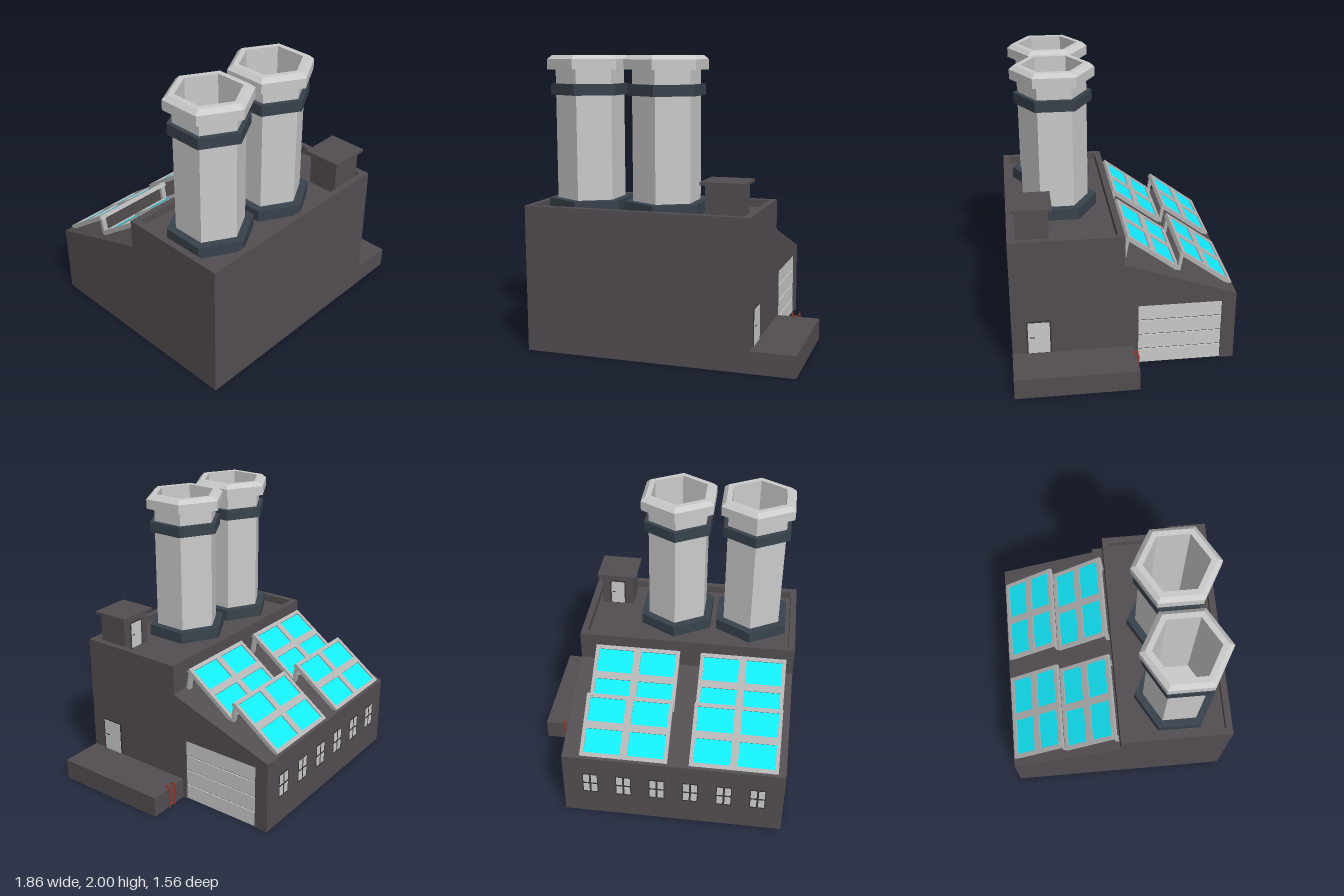
import * as THREE from 'three';

const mat = (color) => new THREE.MeshStandardMaterial({ color, flatShading: true });
const WALL = mat(0x534e51), TRIM = mat(0x3a3638), BAND = mat(0x39424c);
const GREY = mat(0xcccccc), FRAME = mat(0xb4b4b4), GLASS = mat(0x14ecff), RUST = mat(0x8f3a2e);
WALL.side = THREE.DoubleSide;

const X0 = -0.93, X1 = 0.623, Z = 0.778, ROOF = 0.95;

function add(parent, name, geometry, material) {
  const mesh = new THREE.Mesh(geometry, material);
  mesh.name = name;
  parent.add(mesh);
  return mesh;
}

function group(parent, name) {
  const g = new THREE.Group();
  g.name = name;
  parent.add(g);
  return g;
}

// Box given by its extents
function box(parent, name, [x0, x1], [y0, y1], [z0, z1], material) {
  const mesh = add(parent, name, new THREE.BoxGeometry(x1 - x0, y1 - y0, z1 - z0), material);
  mesh.position.set((x0 + x1) / 2, (y0 + y1) / 2, (z0 + z1) / 2);
  return mesh;
}

const vectors = (pts) => pts.map((p) => new THREE.Vector2(...p));
const shapeOf = (pts) => new THREE.Shape(vectors(pts));
const holeOf = (pts) => new THREE.Path(vectors(pts).reverse());
const rect = (x0, x1, y0, y1) => [[x0, y0], [x1, y0], [x1, y1], [x0, y1]];
const extrude = (shape, depth) => new THREE.ExtrudeGeometry(shape, { depth, bevelEnabled: false });

// Hollow building shell, open underneath
function building(root) {
  const g = group(root, 'building');
  // Side outline as (-z, y), from the back round to the front
  const outline = [[Z, 0], [Z, 0.52], [0, 0.79], [0, ROOF], [-Z, ROOF], [-Z, 0]];
  const skin = new THREE.PlaneGeometry(X1 - X0, 1, 1, outline.length - 1);
  const pos = skin.attributes.position;
  for (let i = 0; i < pos.count; i++) {
    const [a, y] = outline[Math.floor(i / 2)];
    pos.setXYZ(i, i % 2 ? X0 : X1, y, -a);
  }
  add(g, 'wallsAndRoof', skin, WALL);
  const plainSide = new THREE.ShapeGeometry(shapeOf(outline)).rotateY(Math.PI / 2);
  add(g, 'plainSideWall', plainSide, WALL).position.x = X0;

  // Side wall with the loading gate opening
  const opening = [[0.68, 0], [0.68, 0.465], [0.095, 0.465], [0.095, 0]];
  const gateShape = shapeOf([...opening.reverse(), ...outline]);
  add(g, 'gateWall', extrude(gateShape, 0.02).rotateY(Math.PI / 2), WALL).position.x = X1 - 0.02;

  // Parapet around the flat roof
  const ring = shapeOf(rect(X0, X1, -Z, 0));
  ring.holes.push(holeOf(rect(-0.885, 0.577, -0.732, -0.045)));
  add(g, 'parapet', extrude(ring, 0.053).rotateX(-Math.PI / 2), WALL).position.y = ROOF;

  // Loading dock and sectional gate
  box(g, 'loadingDock', [X1, 0.928], [0, 0.148], [-0.065, Z], WALL);
  for (let i = 0; i < 4; i++) {
    const y = i * 0.1165;
    box(g, 'gatePanel', [0.601, 0.613], [y, y + (i < 3 ? 0.108 : 0.1155)], [-0.68, -0.095], GREY);
  }
  box(g, 'gateBacking', [0.601, 0.605], [0, 0.465], [-0.68, -0.095], TRIM);
}

// Door facing +z, standing on its origin
function door(parent, name, w, h, depth) {
  const g = group(parent, name);
  box(g, 'doorFrame', [-w / 2, w / 2], [0, h], [0, depth * 0.7], TRIM);
  box(g, 'doorLeaf', [-w / 2 + 0.01, w / 2 - 0.01], [0.003, h - 0.01], [0, depth], GREY);
  box(g, 'doorHandle', [-w * 0.36, -w * 0.17], [h * 0.49, h * 0.52], [0, depth + 0.002], TRIM);
  return g;
}

function roofHut(root) {
  const g = group(root, 'roofHut');
  box(g, 'hutWalls', [0.312, 0.55], [ROOF, 1.19], [0.5, 0.72], WALL);
  box(g, 'hutRoof', [0.285, 0.577], [1.19, 1.21], [0.473, 0.745], WALL);
  const d = door(g, 'hutDoor', 0.12, 0.2, 0.003);
  d.position.set(0.43, ROOF, 0.5);
  d.rotation.y = Math.PI;
}

// Hollow six-sided chimney with a collar and a foot ring
function chimney(root, x) {
  const g = group(root, 'chimney');
  g.position.set(x, 0, 0.415);
  const turned = (name, pts, material) => add(g, name, new THREE.LatheGeometry(vectors(pts), 6), material);
  turned('chimneyStack', [
    [0.233, ROOF], [0.233, 1.905], [0.289, 1.905], [0.289, 1.972], [0.255, 2],
    [0.213, 2], [0.213, 1], [0, 1],
  ], GREY);
  const collar = (name, r, y0, y1) => turned(name, [[0.23, y0], [r, y0], [r, y1], [0.23, y1]], BAND);
  collar('chimneyBase', 0.293, ROOF, 1.032);
  collar('chimneyBand', 0.267, 1.735, 1.81);
}

// Tilted skylight: frame with four panes, propped on two legs
function skylight(root, x, y, z) {
  const W = 0.612, L = 0.447;
  const g = group(root, 'skylight');
  g.position.set(x, y, z);
  const tilted = group(g, 'skylightPanel');
  tilted.rotation.x = Math.PI / 2 - Math.atan2(0.265, 0.36);
  const frame = shapeOf(rect(-W / 2, W / 2, 0, L));
  for (const px of [-0.153, 0.153]) {
    for (const py of [0.113, 0.334]) {
      frame.holes.push(holeOf(rect(px - 0.127, px + 0.127, py - 0.084, py + 0.084)));
      box(tilted, 'glassPane', [px - 0.128, px + 0.128], [py - 0.085, py + 0.085], [0.01, 0.024], GLASS);
    }
  }
  add(tilted, 'skylightFrame', extrude(frame, 0.03), FRAME);
  for (const s of [-1, 1]) {
    const leg = add(g, 'skylightLeg', new THREE.BoxGeometry(0.035, 0.16, 0.024), FRAME);
    leg.position.set(s * 0.28, 0.178, 0.368);
    leg.rotation.x = -0.17;
  }
}

// Four-pane window lying flush with the back wall
function backWindow(root, x) {
  const g = group(root, 'window');
  g.position.set(x, 0.285, -Z);
  box(g, 'windowFrame', [-0.056, 0.056], [-0.09, 0.09], [-0.001, 0.01], TRIM);
  for (const cx of [-0.028, 0.028]) {
    for (const cy of [-0.043, 0.043]) {
      box(g, 'windowPane', [cx - 0.021, cx + 0.021], [cy - 0.036, cy + 0.036], [-0.002, 0.005], GREY);
    }
  }
}

// Ladder hooked over the end of the dock
function ladder(root) {
  const g = group(root, 'ladder');
  for (const x of [0.735, 0.785]) {
    const side = [x - 0.004, x + 0.004];
    box(g, 'ladderRail', side, [0, 0.175], [-0.08, -0.072], RUST);
    box(g, 'ladderHook', side, [0.167, 0.175], [-0.08, -0.048], RUST);
    box(g, 'ladderHookEnd', side, [0.146, 0.175], [-0.056, -0.048], RUST);
  }
  for (let i = 0; i < 5; i++) {
    const y = 0.028 + i * 0.03;
    box(g, 'ladderRung', [0.735, 0.785], [y, y + 0.006], [-0.079, -0.073], RUST);
  }
}

export function createModel() {
  const root = new THREE.Group();
  root.name = 'factory';
  building(root);
  roofHut(root);
  for (const x of [-0.598, -0.046]) chimney(root, x);
  for (const x of [-0.57, 0.192]) {
    skylight(root, x, 0.54, -0.772);
    skylight(root, x, 0.68, -0.395);
  }
  for (let i = 0; i < 6; i++) backWindow(root, 0.43 - i * 0.236);
  const sideDoor = door(root, 'sideDoor', 0.17, 0.252, 0.008);
  sideDoor.position.set(X1, 0.148, 0.592);
  sideDoor.rotation.y = Math.PI / 2;
  ladder(root);
  return root;
}
